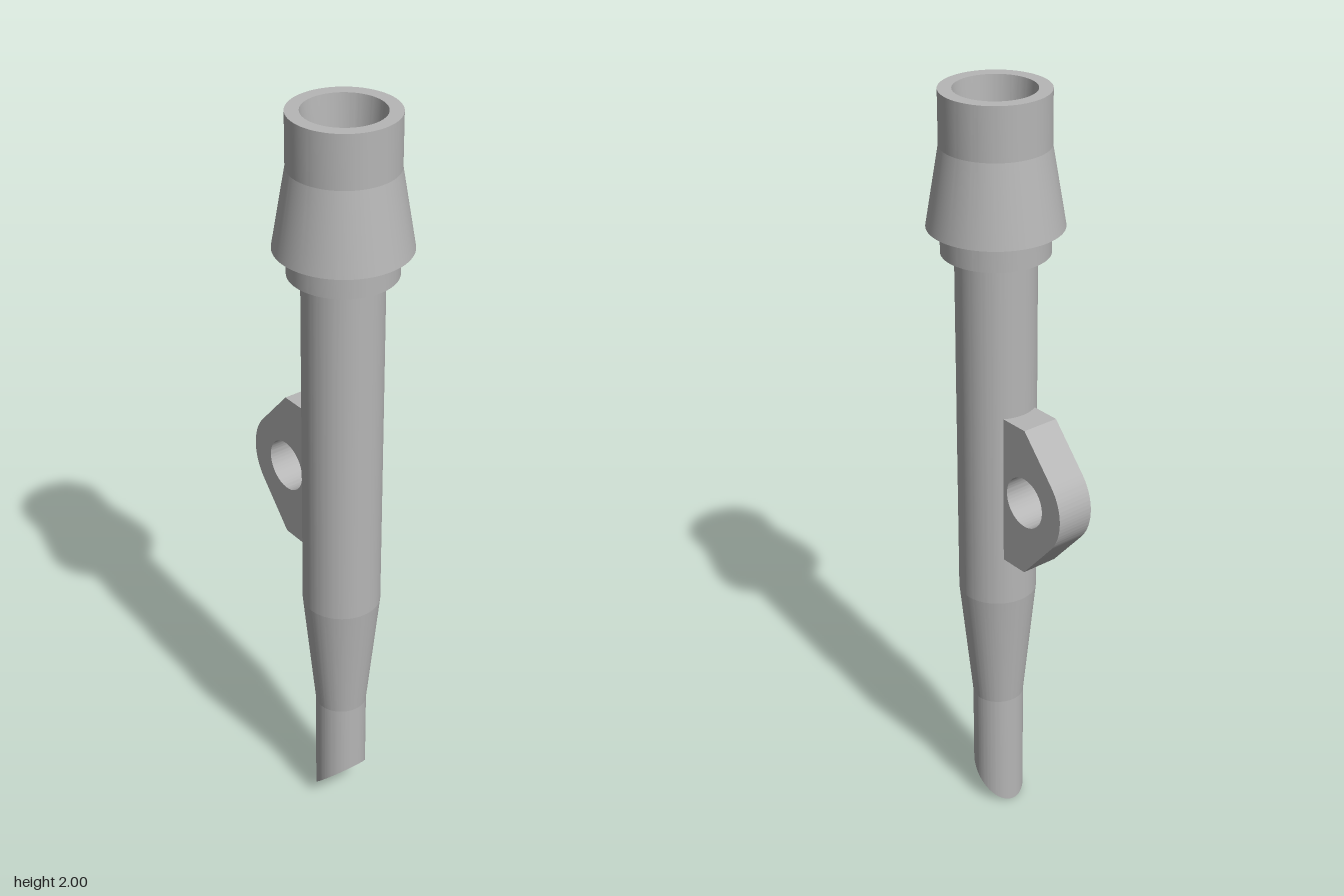
import * as THREE from 'three';
import { toCreasedNormals } from 'three/addons/utils/BufferGeometryUtils.js';

const AXIS_Z = 0.0667; // the tube stands forward of the lug
const CREASE = 0.085;

export function createModel() {
  const group = new THREE.Group();
  const grey = new THREE.MeshStandardMaterial({ color: 0xb6b6b6 });
  grey.name = 'plain grey';

  function add(name, geometry) {
    const mesh = new THREE.Mesh(toCreasedNormals(geometry, CREASE), grey);
    mesh.name = name;
    group.add(mesh);
  }

  // Hollow tube: tip, outer wall, flared collar, rim, bore and back to the tip
  const profile = [
    [0.0333, 0], [0.0667, 0], [0.0667, 0.3333], [0.1, 0.6667],
    [0.1, 1.6], [0.1333, 1.6], [0.1333, 1.6667], [0.1667, 1.6667],
    [0.1333, 1.8667], [0.1333, 2], [0.1, 2], [0.0667, 1.6],
    [0.0667, 0.6667], [0.0333, 0.3333], [0.0333, 0],
  ].map(([r, y]) => new THREE.Vector2(r, y));
  const tube = new THREE.LatheGeometry(profile, 96);
  tube.translate(0, 0, AXIS_Z);

  // Slanted tip: the lowest rings follow a 45 degree plane
  const p = tube.attributes.position;
  for (let i = 0; i < p.count; i++) {
    if (p.getY(i) < 0.001) p.setY(i, p.getZ(i));
  }
  add('tube', tube);

  // Lug on the back: rounded tip with tangent flanks and a cross hole
  const radius = 0.1333;
  const tangent = Math.PI / 2 - Math.acos(radius / 0.2);
  const outline = new THREE.Shape();
  outline.moveTo(0.012, 0.8);
  outline.lineTo(0.1, 0.8);
  outline.absarc(0.1, 1, radius, -tangent, tangent, false);
  outline.lineTo(0.1, 1.2);
  outline.lineTo(0.012, 1.2);
  outline.closePath();
  const hole = new THREE.Path();
  hole.absarc(0.1, 1, 0.0667, 0, Math.PI * 2, true);
  outline.holes.push(hole);
  const lug = new THREE.ExtrudeGeometry(outline, { depth: 0.1, bevelEnabled: false, curveSegments: 48 });
  lug.translate(0, 0, -0.05);
  lug.rotateY(Math.PI / 2);
  // The hole's coarse facets stay within this crease limit
  const lugMesh = new THREE.Mesh(toCreasedNormals(lug, 0.3), grey);
  lugMesh.name = 'lug';
  group.add(lugMesh);

  return group;
}
